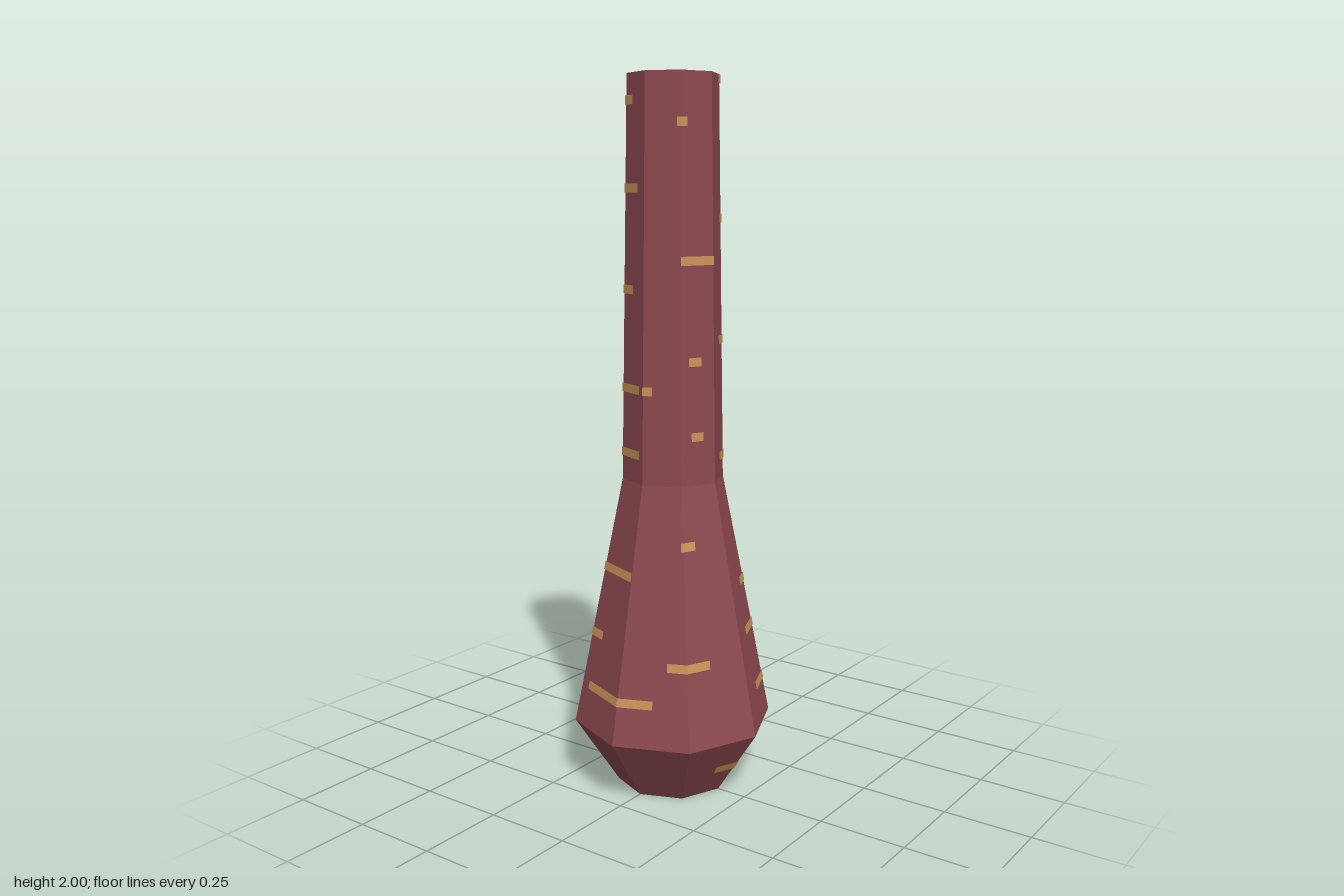
import * as THREE from 'three';

const SIDES = 8;
// Silhouette: [radius, height]
const PROFILE = [[0.16, 0], [0.285, 0.19], [0.143, 0.9], [0.125, 2]];
const CORE_RADIUS = 0.09;
const MARK_HEIGHT = 0.024;

// Bark marks: [height, start, end], measured in faces around the trunk from the front corner
const MARKS = [
  [1.987, 0.75, 2.2], [1.87, -1.1, -0.8], [1.74, 2.55, 3.35], [1.62, 0.75, 1.78],
  [1.51, -1, 0], [1.51, 2.1, 3.2], [1.31, 3.2, 3.7], [1.29, 0.5, 1.1],
  [1.24, -0.77, -0.4], [1.175, 1, 1.55], [1.16, -2, -1.75], [1.075, 2.8, 3.5],
  [1.035, -0.7, -0.35], [0.98, 2.9, 3.1], [0.965, 0.5, 1.3],
  [0.77, 1, 1.95], [0.74, -1.05, -0.72], [0.66, 2.67, 3.05], [0.6, 0.64, 1.23],
  [0.465, 0.43, 1.15], [0.415, -1.3, -0.6], [0.41, 1.8, 2.62], [0.35, 3.12, 3.6],
  [0.3, 0.48, 1.64], [0.115, 2.55, 3.05], [0.1, 0.53, 1.08], [0.09, -0.42, 0],
  [0.1, 4, 4.3],
  [1.93, 5, 5.4], [1.7, 5, 5.7], [1.43, 4.85, 5.5], [1.16, 5, 5.85], [0.98, 5, 5.85],
  [0.65, 4.95, 6], [0.46, 4.7, 5.35], [0.31, 5.2, 6.5],
];

function radiusAt(y) {
  for (let i = 1; i < PROFILE.length; i++) {
    const [r0, y0] = PROFILE[i - 1], [r1, y1] = PROFILE[i];
    if (y <= y1) return THREE.MathUtils.mapLinear(y, y0, y1, r0, r1);
  }
  return PROFILE[PROFILE.length - 1][0];
}

// Point just above the faceted surface, u faces around from the front corner
function surfacePoint(u, y) {
  const k = Math.floor(u), r = radiusAt(y) + 0.003;
  const corner = (n) => {
    const a = (n * Math.PI * 2) / SIDES;
    return new THREE.Vector3(Math.sin(a) * r, y, Math.cos(a) * r);
  };
  return corner(k).lerp(corner(k + 1), u - k);
}

// Thin strip that bends over the trunk corners
function markGeometry(y, start, end) {
  const stops = [start];
  for (let k = Math.floor(start) + 1; k < end; k++) stops.push(k);
  stops.push(end);
  const points = [];
  const low = y - MARK_HEIGHT / 2, high = y + MARK_HEIGHT / 2;
  for (let i = 1; i < stops.length; i++) {
    const a = surfacePoint(stops[i - 1], low), b = surfacePoint(stops[i], low);
    const c = surfacePoint(stops[i], high), d = surfacePoint(stops[i - 1], high);
    points.push(a, b, c, a, c, d);
  }
  const geometry = new THREE.BufferGeometry().setFromPoints(points);
  geometry.computeVertexNormals();
  return geometry;
}

export function createModel() {
  const model = new THREE.Group();
  model.name = 'treeTrunk';
  const bark = new THREE.MeshStandardMaterial({ color: 0x8e4a50 });
  bark.name = 'redBark';
  const wood = new THREE.MeshStandardMaterial({ color: 0xcc9559 });
  wood.name = 'tanWood';

  const add = (name, geometry, material, parent = model) => {
    const mesh = new THREE.Mesh(geometry, material);
    mesh.name = name;
    parent.add(mesh);
    return mesh;
  };

  // Faceted trunk
  const trunk = new THREE.LatheGeometry(PROFILE.map(([r, y]) => new THREE.Vector2(r, y)), SIDES).toNonIndexed();
  trunk.computeVertexNormals();
  add('trunk', trunk, bark);

  // Cut ends: bark rim and wood core on top, bare wood below
  const topRadius = PROFILE[PROFILE.length - 1][0];
  const rim = add('topBarkRim', new THREE.RingGeometry(CORE_RADIUS, topRadius, SIDES), bark);
  const core = add('topWoodCore', new THREE.CircleGeometry(CORE_RADIUS, SIDES), wood);
  for (const cap of [rim, core]) {
    cap.rotation.x = -Math.PI / 2;
    cap.position.y = 2;
  }
  const base = add('bottomWood', new THREE.CircleGeometry(PROFILE[0][0], SIDES), wood);
  base.rotation.x = Math.PI / 2;

  // Bark marks
  const marks = new THREE.Group();
  marks.name = 'barkMarks';
  model.add(marks);
  for (const [y, start, end] of MARKS) add('barkMark', markGeometry(y, start, end), wood, marks);

  return model;
}
